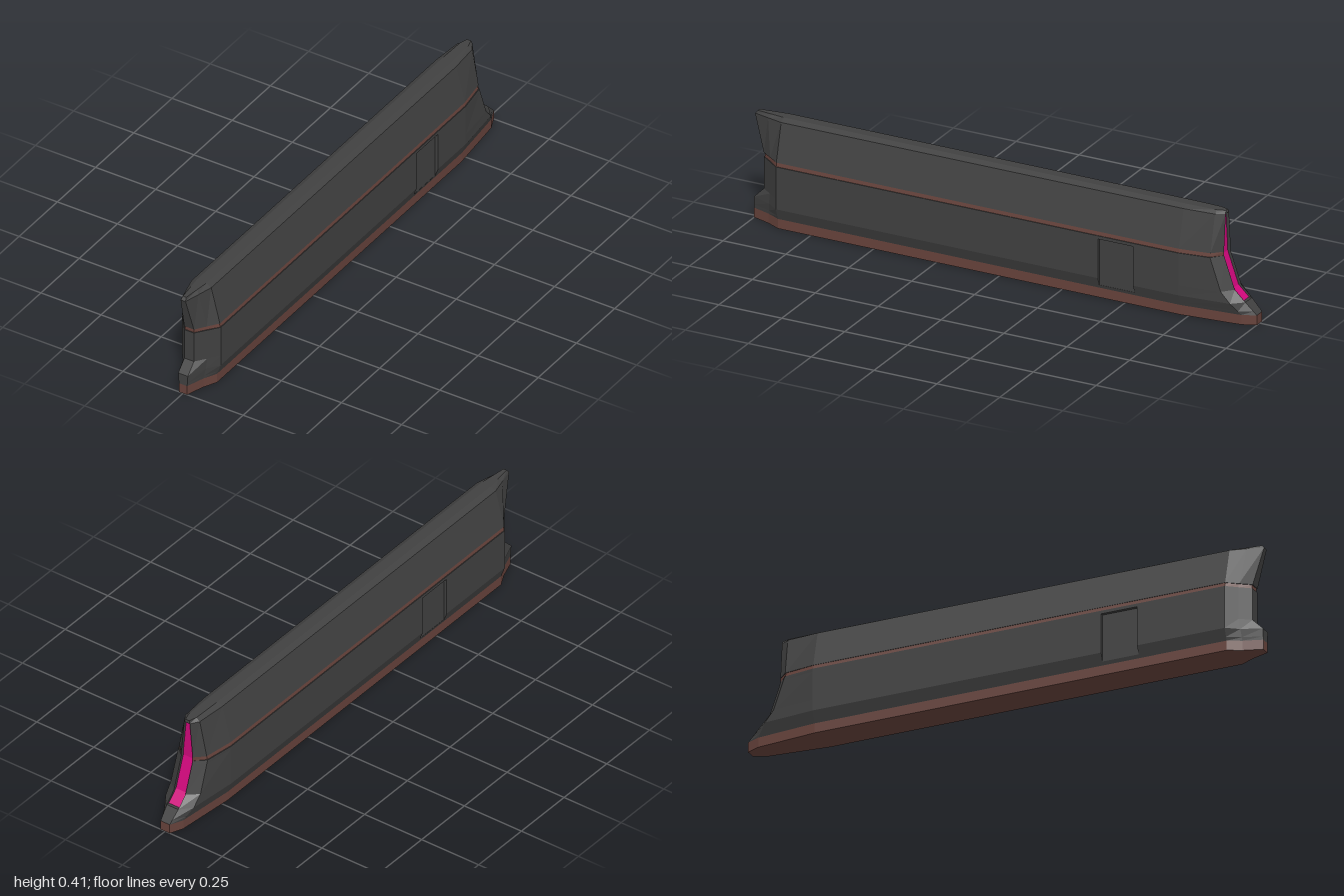
import * as THREE from 'three';

const darkGrey = new THREE.MeshStandardMaterial({ color: 0x404040 });
darkGrey.name = 'dark grey';
const rustBrown = new THREE.MeshStandardMaterial({ color: 0x66423b });
rustBrown.name = 'rust brown';
const magenta = new THREE.MeshStandardMaterial({ color: 0xd0087c });
magenta.name = 'magenta';

// Horizontal sections: height, side half-width, then x and z of the
// nose tip, nose shoulder, tail shoulder and tail tip; part above it
const levels = [
  { s: [0, 0.065, 0.017, 1, 0.04, 0.93, 0.042, -0.95, 0.02, -1], part: 'keel' },
  { s: [0.037, 0.065, 0.017, 1, 0.04, 0.93, 0.042, -0.95, 0.02, -1], part: 'hull' },
  { s: [0.08, 0.081, 0.02, 1, 0.048, 0.925, 0.062, -0.915, 0.025, -0.957], part: 'hull' },
  { s: [0.12, 0.081, 0.02, 0.96, 0.05, 0.92, 0.065, -0.88, 0.025, -0.915], part: 'hull' },
  { s: [0.242, 0.081, 0.02, 0.96, 0.05, 0.92, 0.064, -0.837, 0.025, -0.872], part: 'hull' },
  { s: [0.242, 0.078, 0.019, 0.957, 0.048, 0.917, 0.061, -0.835, 0.025, -0.872], part: 'stripe' },
  { s: [0.257, 0.075, 0.018, 0.957, 0.046, 0.917, 0.058, -0.835, 0.025, -0.872], part: 'upperBody' },
  { s: [0.257, 0.077, 0.02, 0.96, 0.048, 0.92, 0.06, -0.837, 0.025, -0.872], part: 'upperBody' },
  { s: [0.397, 0.041, 0.01, 1, 0.026, 0.94, 0.032, -0.84, 0.012, -0.872], part: 'upperBody' },
  { s: [0.408, 0.02, 0.007, 0.99, 0.014, 0.93, 0.017, -0.84, 0.008, -0.87], part: 'upperBody' },
];

// Extra section between two neighbours, for the door edges
function splitAt(y) {
  const i = levels.findIndex((l) => l.s[0] > y);
  const lo = levels[i - 1], hi = levels[i];
  const t = (y - lo.s[0]) / (hi.s[0] - lo.s[0]);
  return [i, { s: lo.s.map((v, k) => v + (hi.s[k] - v) * t), part: lo.part }];
}

// Sixteen points round one section, from nose to tail along +x and back
function ring([y, w, ax, az, bx, bz, cx, cz, dx, dz]) {
  return [
    [ax, az], [bx, bz], [w, 0.88], [w, -0.4], [w, -0.54], [w, -0.72], [cx, cz], [dx, dz],
    [-dx, dz], [-cx, cz], [-w, -0.72], [-w, 0.4], [-w, 0.54], [-w, 0.88], [-bx, bz], [-ax, az],
  ].map(([x, z]) => new THREE.Vector3(x, y, z));
}

export function createModel() {
  const parts = {};
  const quad = (part, a, b, c, d) => {
    parts[part] ??= [];
    for (const p of [a, b, c, a, c, d]) parts[part].push(p.x, p.y, p.z);
  };

  const rows = [...levels];
  for (const y of [0.23, 0.05]) {
    const [i, level] = splitAt(y);
    rows.splice(i, 0, level);
  }
  const rings = rows.map((l) => ring(l.s));
  const rowAt = (y) => rows.findIndex((l) => Math.abs(l.s[0] - y) < 1e-6);

  // Openings in the shell: a door on each side and the tail panel
  const openings = [
    { col: 3, from: rowAt(0.05), to: rowAt(0.23), floor: 'rightDoor', push: (p) => new THREE.Vector3(0.069, p.y, p.z) },
    { col: 11, from: rowAt(0.05), to: rowAt(0.23), floor: 'leftDoor', push: (p) => new THREE.Vector3(-0.069, p.y, p.z) },
    { col: 7, from: rowAt(0.08), to: rowAt(0.397), floor: 'tailPanel', push: (p) => new THREE.Vector3(p.x, p.y, p.z + 0.012) },
  ];

  // Shell between neighbouring sections
  for (let r = 0; r < rings.length - 1; r++) {
    for (let i = 0; i < 16; i++) {
      if (openings.some((o) => o.col === i && r >= o.from && r < o.to)) continue;
      const j = (i + 1) % 16;
      quad(rows[r].part, rings[r][i], rings[r][j], rings[r + 1][j], rings[r + 1][i]);
    }
  }

  // Recessed floors and their surrounding walls
  for (const { col, from, to, floor, push } of openings) {
    const left = (r) => rings[r][col], right = (r) => rings[r][col + 1];
    for (let r = from; r < to; r++) {
      const [a, b, c, d] = [left(r), right(r), right(r + 1), left(r + 1)];
      quad(floor, push(a), push(b), push(c), push(d));
      quad('hull', a, push(a), push(d), d);
      quad('hull', push(b), b, c, push(c));
    }
    quad('hull', left(from), right(from), push(right(from)), push(left(from)));
    quad('hull', push(left(to)), push(right(to)), right(to), left(to));
  }

  // Underside and roof
  const bottom = rings[0], top = rings[rings.length - 1];
  for (let i = 0; i < 7; i++) {
    quad('keel', bottom[15 - i], bottom[14 - i], bottom[i + 1], bottom[i]);
    quad('roof', top[i], top[i + 1], top[14 - i], top[15 - i]);
  }

  const materials = { keel: rustBrown, stripe: rustBrown, tailPanel: magenta };
  const group = new THREE.Group();
  group.name = 'longNarrowHull';
  for (const [name, positions] of Object.entries(parts)) {
    const geometry = new THREE.BufferGeometry();
    geometry.setAttribute('position', new THREE.Float32BufferAttribute(positions, 3));
    geometry.computeVertexNormals();
    const mesh = new THREE.Mesh(geometry, materials[name] ?? darkGrey);
    mesh.name = name;
    group.add(mesh);
  }
  return group;
}
